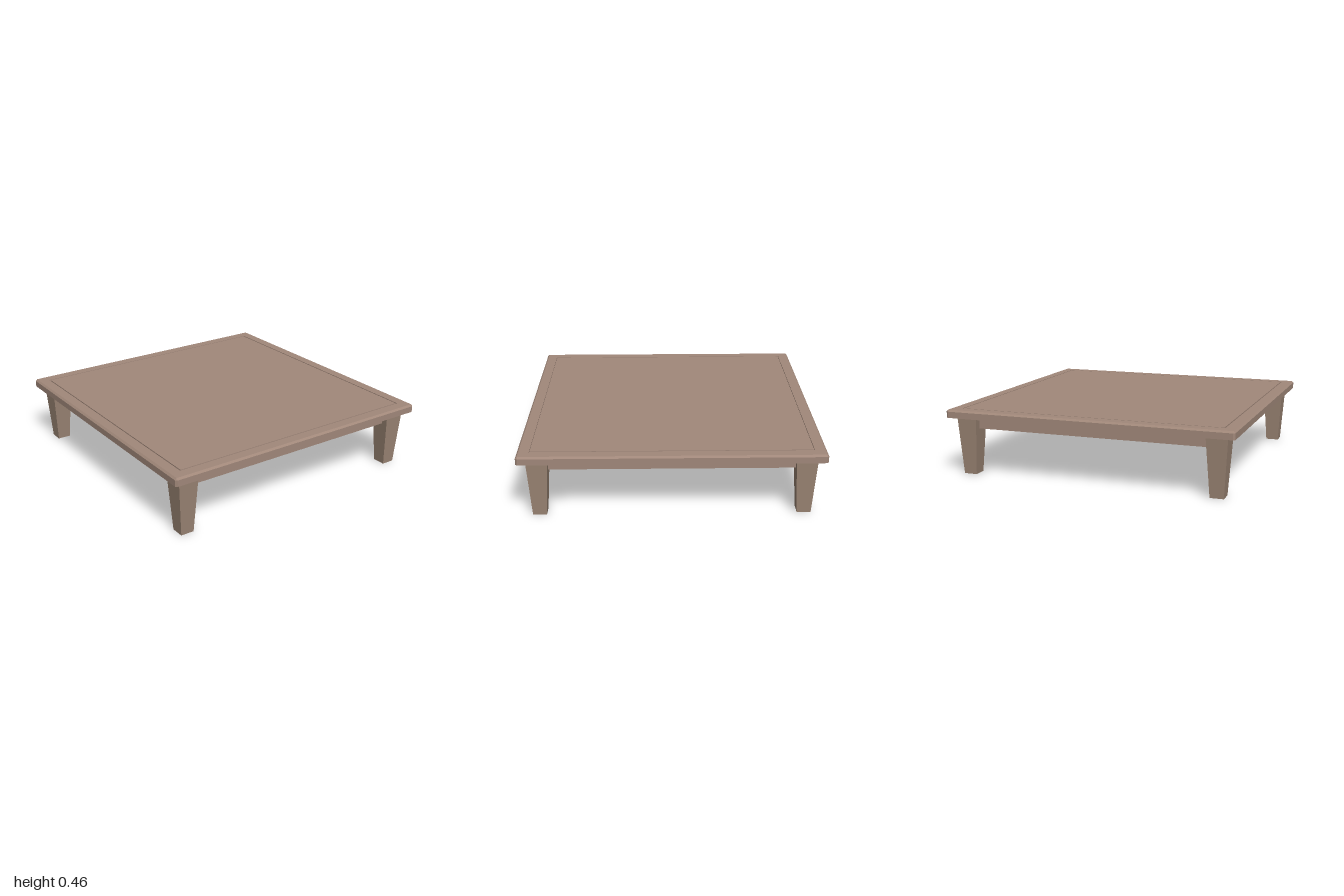
import * as THREE from 'three';

const topWood = new THREE.MeshStandardMaterial({ color: 0xa1887a, flatShading: true });
topWood.name = 'top wood';
const legWood = new THREE.MeshStandardMaterial({ color: 0x9b8574, flatShading: true });
legWood.name = 'leg wood';

// Square cross-section with cut corners: 8 points, going from +x towards +z
function squareRing(half, y, cut) {
  const points = [];
  for (let k = 0; k < 4; k++) {
    const c = Math.round(Math.cos(k * Math.PI / 2)), s = Math.round(Math.sin(k * Math.PI / 2));
    for (const t of [-(half - cut), half - cut]) {
      points.push([half * c - t * s, y, half * s + t * c]);
    }
  }
  return points;
}

// Joins rings, given as [half width, height, corner cut], into one closed skin
function ringSkin(profile) {
  const rings = profile.map(([half, y, cut]) => squareRing(half, y, cut));
  const positions = [];
  for (let j = 0; j < rings.length - 1; j++) {
    for (let i = 0; i < 8; i++) {
      const n = (i + 1) % 8;
      const a = rings[j][i], b = rings[j][n], c = rings[j + 1][i], d = rings[j + 1][n];
      positions.push(...a, ...c, ...b, ...b, ...c, ...d);
    }
  }
  const geometry = new THREE.BufferGeometry();
  geometry.setAttribute('position', new THREE.Float32BufferAttribute(positions, 3));
  geometry.computeVertexNormals();
  return geometry;
}

export function createModel() {
  const table = new THREE.Group();
  table.name = 'lowTable';

  function add(name, geometry, material, x, y, z) {
    const mesh = new THREE.Mesh(geometry, material);
    mesh.name = name;
    mesh.position.set(x, y, z);
    table.add(mesh);
    return mesh;
  }

  // Tabletop: bevelled slab with a narrow groove around its panel
  add('tabletop', ringSkin([
    [0, 0.4, 0], [1, 0.4, 0.012], [1, 0.443, 0.012], [0.988, 0.455, 0],
    [0.919, 0.455, 0], [0.919, 0.448, 0], [0.911, 0.448, 0], [0.911, 0.455, 0],
    [0, 0.455, 0],
  ]), topWood, 0, 0, 0);

  // Four square legs tapering towards the floor
  const inset = 0.873;
  const legGeometry = new THREE.CylinderGeometry(0.072 * Math.SQRT2, 0.046 * Math.SQRT2, 0.4, 4);
  legGeometry.rotateY(Math.PI / 4);
  for (const [end, z] of [['front', inset], ['back', -inset]]) {
    for (const [side, x] of [['Left', inset], ['Right', -inset]]) {
      add(end + side + 'Leg', legGeometry, legWood, x, 0.2, z);
    }
  }

  // Apron rails between the legs
  const railGeometry = new THREE.BoxGeometry(1.62, 0.08, 0.05);
  ['front', 'left', 'back', 'right'].forEach((name, k) => {
    const angle = k * Math.PI / 2;
    const rail = add(name + 'Apron', railGeometry, topWood,
      inset * Math.sin(angle), 0.36, inset * Math.cos(angle));
    rail.rotation.y = angle;
  });

  return table;
}
